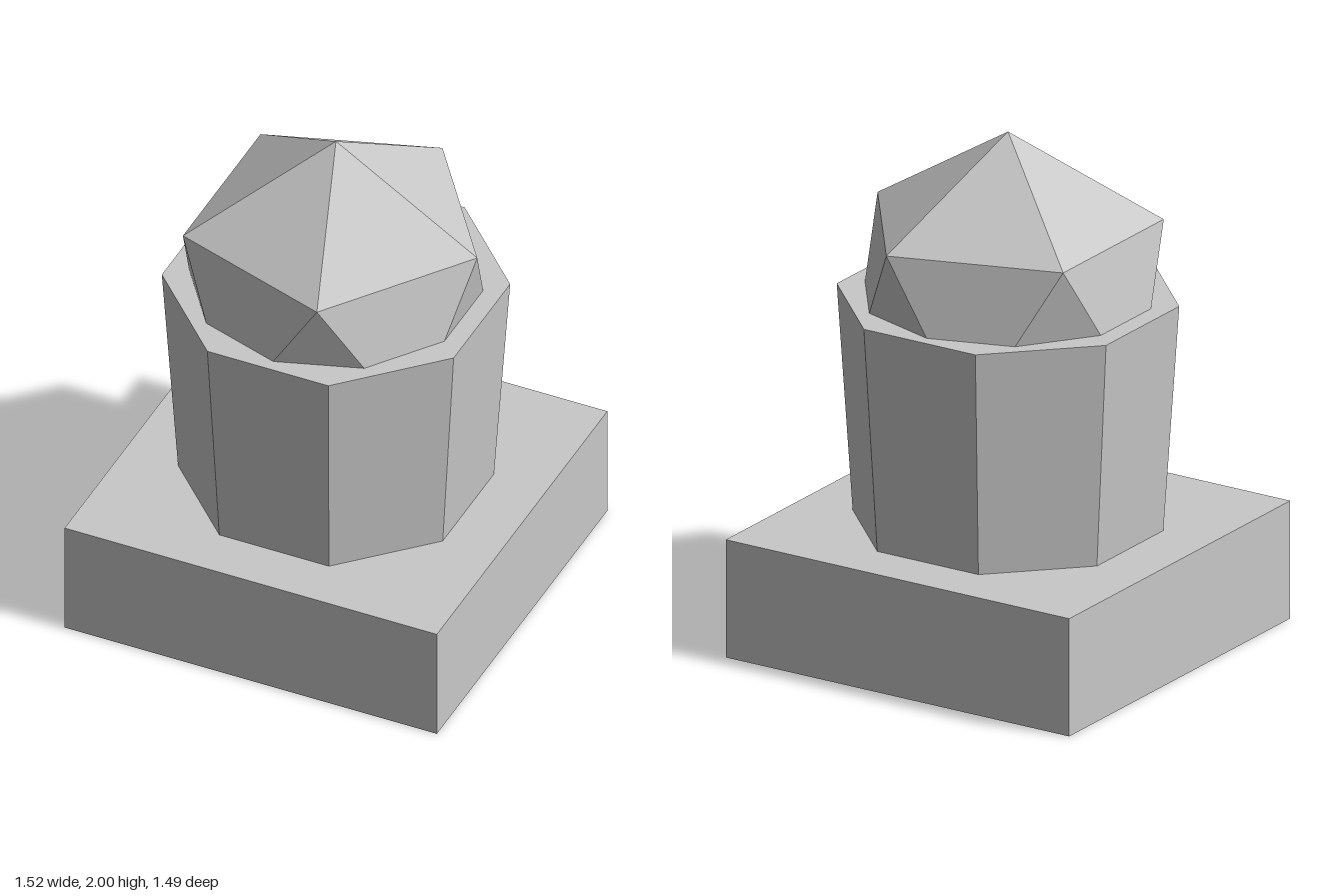
import * as THREE from 'three';

export function createModel() {
  const model = new THREE.Group();
  model.name = 'bollard';
  const stone = new THREE.MeshStandardMaterial({ color: 0xc8c8c8, flatShading: true });
  stone.name = 'grey stone';

  const baseHeight = 0.465;
  const columnTop = 1.355;
  const radius = 0.645;

  function addPart(name, geometry, y) {
    const mesh = new THREE.Mesh(geometry, stone);
    mesh.name = name;
    mesh.position.y = y;
    model.add(mesh);
  }

  // Rectangular plinth
  addPart('base', new THREE.BoxGeometry(1.52, baseHeight, 1.49), baseHeight / 2);

  // Octagonal column, widening upwards, flat sides facing the axes
  const columnHeight = columnTop - baseHeight;
  const column = new THREE.CylinderGeometry(radius, 0.585, columnHeight, 8, 1, false, Math.PI / 8);
  addPart('column', column, baseHeight + columnHeight / 2);

  // Icosahedron stood on a corner, its lower half sunk into the column
  const cap = new THREE.IcosahedronGeometry(radius, 0);
  cap.rotateX(-Math.atan((1 + Math.sqrt(5)) / 2));
  cap.rotateY(Math.PI / 2);
  addPart('cap', cap, columnTop);

  return model;
}
